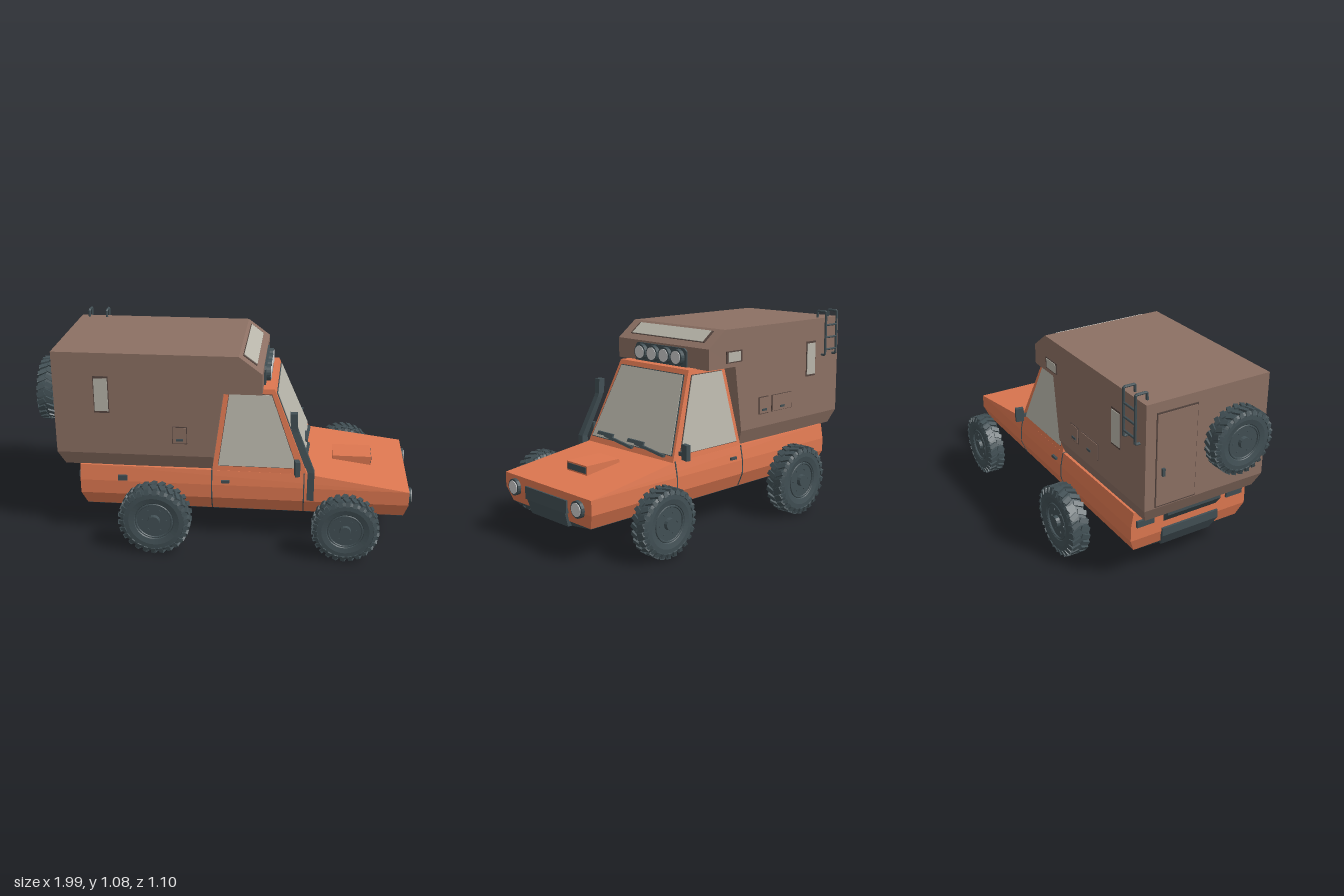
import * as THREE from 'three';
import { ConvexGeometry } from 'three/addons/geometries/ConvexGeometry.js';

const mat = (color) => new THREE.MeshStandardMaterial({ color, flatShading: true });
const orange = mat(0xdd7750), brown = mat(0x8c7063), trim = mat(0x564640);
const dark = mat(0x414f54), glass = mat(0xb8b5aa), lens = mat(0xbcbcbc);
const V = (p) => new THREE.Vector3(...p);

export function createModel() {
  const model = new THREE.Group();
  const add = (name, geo, material, parent = model) => {
    const mesh = new THREE.Mesh(geo, material);
    mesh.name = name;
    parent.add(mesh);
    return mesh;
  };
  const hull = (name, pts, m) => add(name, new ConvexGeometry(pts.map(V)), m);
  // Convex solid from corners on the +z half, mirrored to -z
  const symHull = (name, pts, m) => hull(name, pts.flatMap(([x, y, z]) => [[x, y, z], [x, y, -z]]), m);
  const box = (name, x0, x1, y0, y1, z0, z1, m) => {
    const b = add(name, new THREE.BoxGeometry(x1 - x0, y1 - y0, z1 - z0), m);
    b.position.set((x0 + x1) / 2, (y0 + y1) / 2, (z0 + z1) / 2);
    return b;
  };
  // Thin plate on a sloped face, with a slightly larger frame beneath it
  const pane = (name, pts, normal, m, frame, border = 0.007) => {
    const n = V(normal).normalize(), ps = pts.map(V);
    const c = ps.reduce((a, p) => a.add(p), new THREE.Vector3()).divideScalar(ps.length);
    const plate = (label, grow, t, mm) => {
      const q = ps.map((p) => p.clone().add(p.clone().sub(c).normalize().multiplyScalar(grow)));
      add(label, new ConvexGeometry(q.flatMap((p) => [
        p.clone().addScaledVector(n, -0.004), p.clone().addScaledVector(n, t)])), mm);
    };
    plate(name + 'Frame', border, 0.004, frame);
    plate(name, 0, 0.007, m);
  };

  // Lower body
  symHull('body', [
    [-0.745, 0.175, 0.317], [0.955, 0.175, 0.317],
    [-0.77, 0.25, 0.35], [0.975, 0.25, 0.35],
    [-0.77, 0.325, 0.35], [0.975, 0.325, 0.35],
    [-0.77, 0.41, 0.335], [0.44, 0.4, 0.335]], orange);
  symHull('underfloor', [
    [-0.74, 0.177, 0.312], [0.95, 0.177, 0.312], [-0.74, 0.171, 0.312], [0.95, 0.171, 0.312],
    [-0.72, 0.146, 0.15], [0.935, 0.146, 0.15]], dark);

  // Cab and its windows
  symHull('cab', [[-0.06, 0.405, 0.335], [0.44, 0.4, 0.335], [0, 0.842, 0.265], [0.26, 0.842, 0.265]], orange);
  const sideZ = (y) => 0.335 - 0.07 * (y - 0.405) / 0.437;
  const frontX = (y) => 0.44 - 0.18 * (y - 0.4) / 0.442;
  const wind = (y, z) => [frontX(y), y, z];
  pane('windscreen', [wind(0.432, 0.312), wind(0.432, -0.312), wind(0.813, -0.24), wind(0.813, 0.24)],
    [0.442, 0.18, 0], glass, dark);
  for (const s of [1, -1]) {
    const p = (x, y) => [x, y, s * sideZ(y)];
    pane('sideWindow', [p(-0.028, 0.433), p(0.385, 0.433), p(0.245, 0.813), p(0.025, 0.813)],
      [0, 0.16, s], glass, trim, 0.004);
    const side = (name, x0, x1, y0, y1, t) => box(name, x0, x1, y0, y1, s * 0.345 - t, s * 0.345 + t, dark);
    // Door seams follow the bend of the body side
    for (const x of [-0.062, 0.425]) {
      side('doorSeam', x - 0.003, x + 0.003, 0.25, 0.325, 0.008);
      hull('doorSeamUpper', [-0.003, 0.003].flatMap((d) => [[x + d, 0.325, s * 0.353], [x + d, 0.405, s * 0.338],
        [x + d, 0.325, s * 0.33], [x + d, 0.405, s * 0.32]]), dark);
      hull('doorSeamLower', [-0.003, 0.003].flatMap((d) => [[x + d, 0.25, s * 0.353], [x + d, 0.178, s * 0.321],
        [x + d, 0.25, s * 0.33], [x + d, 0.178, s * 0.3]]), dark);
    }
    side('doorHandle', -0.012, 0.032, 0.34, 0.354, 0.013);
    box('mirror', 0.375, 0.4, 0.412, 0.493, s * 0.375 - 0.023, s * 0.375 + 0.023, dark).rotation.y = s * 0.2;
    box('mirrorArm', 0.383, 0.395, 0.43, 0.45, s * 0.34 - 0.03, s * 0.34 + 0.03, dark);
  }
  box('sideMarker', -0.565, -0.515, 0.33, 0.36, 0.34, 0.354, dark);

  // Camper box with overhang above the cab
  const outline = new THREE.Shape([[-0.885, 0.485], [-0.05, 0.485], [0, 0.84], [0.2, 0.84], [0.2, 0.95],
    [0.08, 1.04], [-0.885, 1.04]].map((p) => new THREE.Vector2(...p)));
  add('camper', new THREE.ExtrudeGeometry(outline, { depth: 0.7, bevelEnabled: false }).translate(0, 0, -0.35), brown);
  symHull('camperSkirt', [[-0.885, 0.485, 0.35], [-0.05, 0.485, 0.35], [-0.85, 0.408, 0.322], [-0.06, 0.408, 0.322]], brown);
  const slope = (x, z) => [x, 1.04 - 0.75 * (x - 0.08), z];
  pane('overheadWindow', [slope(0.098, 0.272), slope(0.098, -0.272), slope(0.165, -0.272), slope(0.165, 0.272)],
    [0.6, 0.8, 0], glass, trim, 0.014);
  const wallPane = (name, s, x0, x1, y0, y1, m, border) =>
    pane(name, [[x0, y0, s * 0.35], [x1, y0, s * 0.35], [x1, y1, s * 0.35], [x0, y1, s * 0.35]], [0, 0, s], m, trim, border);
  for (const s of [1, -1]) wallPane('camperWindow', s, -0.668, -0.597, 0.727, 0.905, glass, 0.012);
  wallPane('overheadSideWindow', -1, -0.035, 0.06, 0.87, 0.92, glass, 0.014);
  for (const [s, x0, x1] of [[1, -0.263, -0.192], [-1, -0.263, -0.192], [-1, -0.46, -0.3]]) {
    wallPane('hatch', s, x0, x1, 0.56, 0.647, brown, 0.006);
    const xm = (x0 + x1) / 2;
    box('hatchLatch', xm - 0.018, xm + 0.018, 0.573, 0.585, s * 0.355 - 0.006, s * 0.355 + 0.006, dark);
  }

  // Rear door, step, lamps and bumper
  pane('rearDoor', [[-0.885, 0.5, -0.29], [-0.885, 0.5, -0.07], [-0.885, 0.98, -0.07], [-0.885, 0.98, -0.29]],
    [-1, 0, 0], brown, trim, 0.009);
  box('rearDoorHandle', -0.905, -0.885, 0.66, 0.7, -0.265, -0.25, dark);
  symHull('rearStep', [[-0.81, 0.409, 0.16], [-0.81, 0.36, 0.16], [-0.765, 0.3, 0.16], [-0.765, 0.409, 0.16]], dark);
  for (const s of [1, -1]) box('tailLamp', -0.782, -0.76, 0.325, 0.36, s * 0.27 - 0.05, s * 0.27 + 0.05, dark);
  symHull('rearBumper', [[-0.782, 0.27, 0.17], [-0.782, 0.225, 0.17], [-0.74, 0.148, 0.15], [-0.7, 0.148, 0.15],
    [-0.75, 0.27, 0.17]], dark);

  // Nose: skid plate, bonnet scoop and lamps
  symHull('grille', [[0.984, 0.287, 0.168], [0.984, 0.222, 0.168], [0.96, 0.287, 0.168], [0.95, 0.222, 0.168]], dark);
  symHull('skidPlate', [[0.982, 0.222, 0.155], [0.96, 0.147, 0.148], [0.92, 0.222, 0.155], [0.92, 0.147, 0.148]], dark);
  symHull('bonnetScoop', [[0.575, 0.4, 0.08], [0.785, 0.4, 0.08], [0.785, 0.34, 0.08], [0.575, 0.37, 0.08]], orange);
  box('scoopOpening', 0.77, 0.788, 0.36, 0.392, -0.072, 0.072, dark);
  const lamp = (name, x, y, z, depth) => {
    const g = new THREE.Group();
    g.name = name;
    const disc = (label, r, d, m) => add(label, new THREE.CylinderGeometry(r, r * 1.0, d, 20).rotateZ(Math.PI / 2).translate(d / 2, 0, 0), m, g);
    disc('lampHousing', 0.043, depth, dark);
    disc('lampLens', 0.034, depth + 0.004, lens);
    g.position.set(x, y, z);
    model.add(g);
  };
  for (const s of [1, -1]) lamp('headlight', 0.965, 0.265, s * 0.258, 0.028);
  symHull('lightBar', [0.195, 0.21].flatMap((x) => [[x, 0.842, 0.197], [x, 0.925, 0.197], [x, 0.94, 0.18]]), dark);
  for (const z of [-0.141, -0.047, 0.047, 0.141]) lamp('roofLight', 0.2, 0.892, z, 0.033);

  // Wipers lying on the windscreen
  for (const z of [0.265, 0.02]) {
    const strip = (name, y0, z0, y1, z1, h) => hull(name, [[y0, z0], [y1, z1]].flatMap(([y, zz]) =>
      [-h, h].flatMap((d) => [0, 0.018].map((o) => [frontX(y + d) + o, y + d, zz]))), dark);
    strip('wiperBlade', 0.457, z, 0.457, z - 0.125, 0.008);
    strip('wiperArm', 0.45, z - 0.06, 0.424, z - 0.29, 0.006);
  }

  // Snorkel: square sections joined in sequence
  const duct = [[0.46, 0.27, 0.362, 0.018], [0.46, 0.43, 0.362, 0.018], [0.375, 0.64, 0.328, 0.016], [0.365, 0.67, 0.326, 0.016]];
  const ring = ([x, y, z, r]) => [[x - r, y, z - r], [x + r, y, z - r], [x + r, y, z + r], [x - r, y, z + r]];
  for (let i = 0; i < 3; i++) hull('snorkel', [...ring(duct[i]), ...ring(duct[i + 1])], dark);
  hull('snorkelHead', [...ring([0.367, 0.66, 0.326, 0.018]), ...ring([0.363, 0.74, 0.326, 0.018])], dark);

  // Ladder hooked over the roof edge
  for (const x of [-0.835, -0.735]) {
    const path = new THREE.CurvePath();
    const pts = [[1.03, -0.313], [1.078, -0.315], [1.078, -0.375], [0.83, -0.375], [0.828, -0.345]].map(([y, z]) => V([x, y, z]));
    for (let i = 0; i < 4; i++) path.add(new THREE.LineCurve3(pts[i], pts[i + 1]));
    add('ladderRail', new THREE.TubeGeometry(path, 60, 0.007, 8), dark);
  }
  for (const y of [0.86, 0.93, 1.0]) {
    add('ladderRung', new THREE.CylinderGeometry(0.006, 0.006, 0.1, 8).rotateZ(Math.PI / 2), dark).position.set(-0.785, y, -0.375);
  }

  // Off-road wheels with chevron lugs; the axle runs along z and +z faces outward
  const wheel = (name, r, w) => {
    const g = new THREE.Group();
    g.name = name;
    const h = w / 2;
    const profile = [[0.5, 0.6], [0.55, 0.85], [0.7, 0.96], [0.85, 0.92], [0.93, 0.75], [0.95, 0],
      [0.93, -0.75], [0.85, -0.92], [0.7, -0.96], [0.55, -0.85], [0.5, -0.6]].map(([a, b]) => new THREE.Vector2(a * r, b * h));
    add('tyre', new THREE.LatheGeometry(profile.reverse(), 40).rotateX(Math.PI / 2), dark, g);
    add('rim', new THREE.CylinderGeometry(r * 0.51, r * 0.51, w * 0.66, 28).rotateX(Math.PI / 2), dark, g);
    add('hub', new THREE.CylinderGeometry(r * 0.16, r * 0.24, w * 1.02, 14).rotateX(Math.PI / 2), dark, g);
    add('rimLip', new THREE.TorusGeometry(r * 0.5, r * 0.03, 6, 32).translate(0, 0, h * 0.78), dark, g);
    for (let i = 0; i < 6; i++) {
      const a = i * Math.PI / 3;
      add('wheelBolt', new THREE.CylinderGeometry(0.006, 0.006, w * 0.74, 6).rotateX(Math.PI / 2)
        .translate(Math.cos(a) * r * 0.33, Math.sin(a) * r * 0.33, 0), dark, g);
    }
    const n = 26;
    for (let i = 0; i < n; i++) for (const s of [1, -1]) {
      const a = (i + (s > 0 ? 0 : 0.25)) * 2 * Math.PI / n;
      add('treadLug', new THREE.BoxGeometry(r * 0.13, r * 0.075, h * 0.85).rotateY(s * 0.45)
        .translate(0, r * 0.958, s * h * 0.43).rotateZ(a), dark, g);
      add('shoulderLug', new THREE.BoxGeometry(r * 0.12, r * 0.15, h * 0.14)
        .rotateX(s * -0.35).translate(r * 0.04, r * 0.89, s * h * 0.87).rotateZ(a), dark, g);
    }
    model.add(g);
    return g;
  };
  for (const s of [1, -1]) {
    const front = wheel('frontWheel', 0.175, 0.1), rear = wheel('rearWheel', 0.19, 0.113);
    front.position.set(0.645, 0.177, s * 0.487);
    rear.position.set(-0.345, 0.192, s * 0.49);
    if (s < 0) front.rotation.y = rear.rotation.y = Math.PI;
  }
  const spare = wheel('spareWheel', 0.17, 0.1);
  spare.position.set(-0.946, 0.767, 0.135);
  spare.rotation.y = -Math.PI / 2;
  return model;
}
